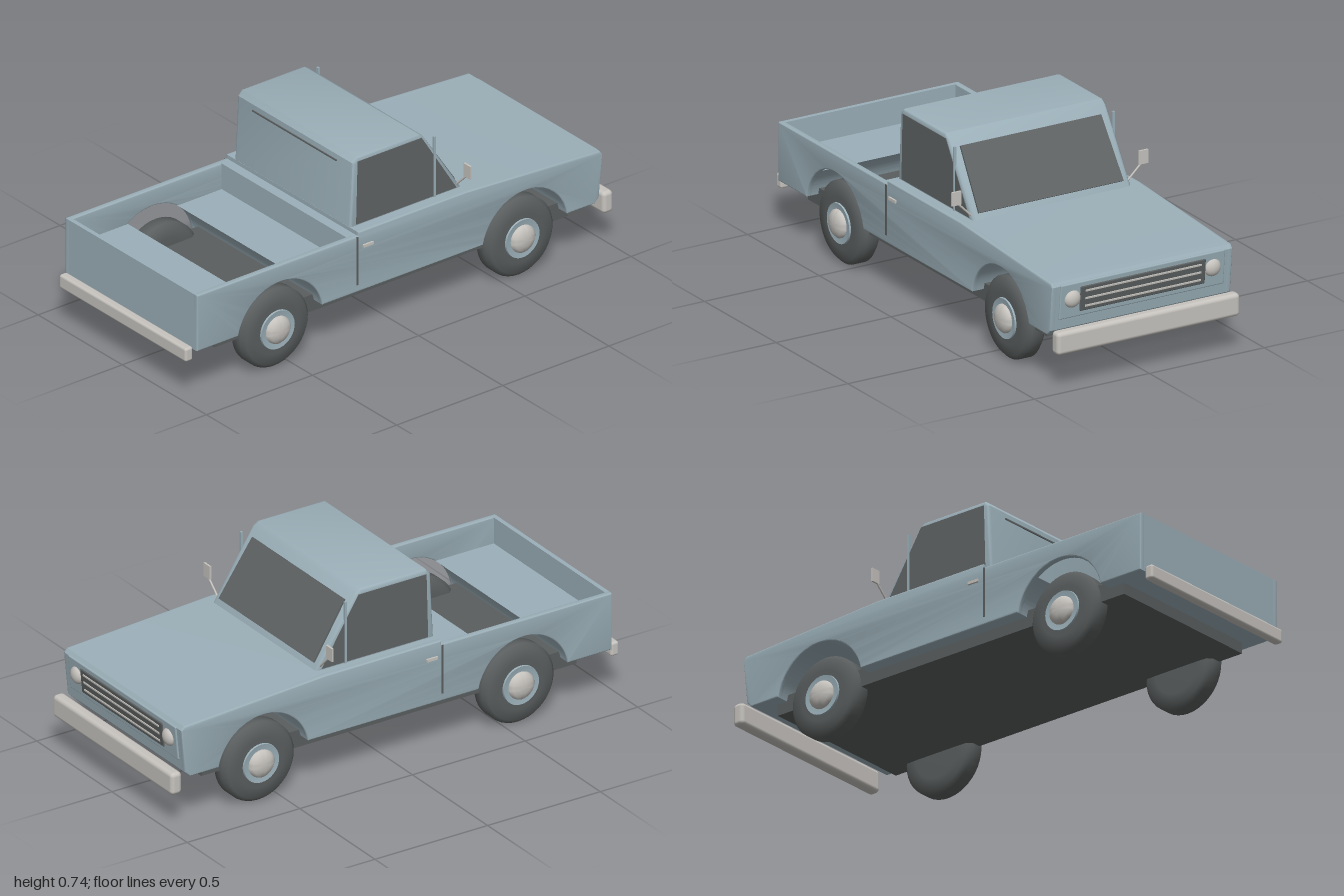
import * as THREE from 'three';
import { toCreasedNormals } from 'three/addons/utils/BufferGeometryUtils.js';
import { RoundedBoxGeometry } from 'three/addons/geometries/RoundedBoxGeometry.js';

const material = (name, color) => new THREE.MeshStandardMaterial({ name, color });

export function createModel() {
  const paint = material('body paint', 0x9bafb8);
  const glass = material('dark glass', 0x606465);
  const rubber = material('dark rubber', 0x5a5e5e);
  const chrome = material('chrome', 0xc6c3be);

  const truck = new THREE.Group();
  truck.name = 'pickupTruck';

  const add = (name, geometry, mat, x = 0, y = 0, z = 0, parent = truck) => {
    const mesh = new THREE.Mesh(geometry, mat);
    mesh.name = name;
    mesh.position.set(x, y, z);
    parent.add(mesh);
    return mesh;
  };
  // box given by its limits on each axis
  const box = (name, mat, [x0, x1], [y0, y1], [z0, z1], radius = 0) => {
    const size = [x1 - x0, y1 - y0, z1 - z0];
    const geometry = radius ? new RoundedBoxGeometry(...size, 3, radius) : new THREE.BoxGeometry(...size);
    return add(name, geometry, mat, (x0 + x1) / 2, (y0 + y1) / 2, (z0 + z1) / 2);
  };
  // side profile extruded from z0 to z1, with an optional rounded edge
  const extrude = (name, mat, shape, z0, z1, bevel = 0) => {
    const geometry = new THREE.ExtrudeGeometry(shape, {
      depth: z1 - z0 - 2 * bevel, curveSegments: 24, bevelEnabled: bevel > 0,
      bevelSize: bevel, bevelThickness: bevel, bevelOffset: -bevel, bevelSegments: 3,
    });
    geometry.translate(0, 0, z0 + bevel);
    return add(name, toCreasedNormals(geometry, 0.6), mat);
  };
  const polygon = (points) => new THREE.Shape(points.map(([x, y]) => new THREE.Vector2(x, y)));

  const REAR = -0.565, FRONT = 0.588, ARCH_Y = 0.165, ARCH_R = 0.202;
  const SILL = 0.205, BED = 0.33, RAIL = 0.437, TAIL = -0.958;
  const INNER = 0.368, OUTER = 0.393, CORE = 0.38;
  const sillAngle = Math.asin((SILL - ARCH_Y) / ARCH_R);
  const bedAngle = Math.asin((BED - ARCH_Y) / ARCH_R);
  const arch = (shape, x, from = Math.PI - sillAngle, to = sillAngle) =>
    shape.absarc(x, ARCH_Y, ARCH_R, from, to, true);
  const nose = (shape) => {
    for (const [x, y] of [[0.915, SILL], [0.935, 0.225], [0.952, 0.4], [0.94, 0.415], [0.31, 0.453], [-0.2, 0.453], [-0.2, RAIL]])
      shape.lineTo(x, y);
  };

  // outer body sides with both wheel arches
  const side = new THREE.Shape();
  side.moveTo(TAIL, RAIL);
  side.lineTo(TAIL, SILL);
  arch(side, REAR);
  arch(side, FRONT);
  nose(side);
  extrude('leftBodySide', paint, side, INNER, OUTER, 0.005);
  extrude('rightBodySide', paint, side, -OUTER, -INNER, 0.005);

  // inner body: the rear arch breaks through the bed floor
  const front = new THREE.Shape();
  front.moveTo(-0.24, RAIL);
  front.lineTo(-0.24, BED);
  arch(front, REAR, bedAngle, sillAngle);
  arch(front, FRONT);
  nose(front);
  extrude('cabBaseAndHood', paint, front, -CORE, CORE);

  const tail = new THREE.Shape();
  tail.moveTo(TAIL, RAIL);
  tail.lineTo(TAIL, SILL);
  arch(tail, REAR, Math.PI - sillAngle, Math.PI - bedAngle);
  tail.lineTo(-0.94, BED);
  tail.lineTo(-0.94, RAIL);
  extrude('bedRearAndTailgate', paint, tail, -CORE, CORE);

  box('chassis', rubber, [-0.835, 0.83], [0.16, 0.23], [-0.34, 0.34]);

  // cab
  extrude('cab', paint, polygon([[-0.2, 0.44], [-0.186, 0.715], [-0.168, 0.735], [0.125, 0.735],
    [0.148, 0.72], [0.325, 0.45], [0.325, 0.44]]), -0.345, 0.345, 0.012);
  box('rearWindowEdge', glass, [-0.191, -0.186], [0.688, 0.694], [-0.25, 0.25]);

  // windscreen plate lying on the sloping cab front
  const slope = Math.atan2(0.177, 0.27);
  const length = 0.218 / Math.cos(slope);
  const pane = new THREE.ExtrudeGeometry(
    polygon([[-0.315, -length / 2], [0.315, -length / 2], [0.306, length / 2], [-0.306, length / 2]]),
    { depth: 0.008, bevelEnabled: false });
  const windscreen = add('windscreen', pane, glass, 0.239, 0.581, 0);
  windscreen.rotation.set(0, Math.PI / 2, 0);
  windscreen.rotateX(-slope);

  const sideGlass = polygon([[-0.172, 0.457], [-0.165, 0.718], [0.136, 0.718], [0.3, 0.457]]);
  for (const s of [1, -1]) {
    const label = s > 0 ? 'left' : 'right';
    const span = (a, b) => (s > 0 ? [a, b] : [-b, -a]);

    // side windows, dividers, door seams and handles
    extrude(label + 'SideWindow', glass, sideGlass, ...span(0.341, 0.347));
    box(label + 'WindowDivider', paint, [0.191, 0.2], [0.453, 0.705], span(0.34, 0.35));
    box(label + 'DoorSeam', rubber, [-0.209, -0.201], [0.235, 0.435], span(0.39, 0.395));
    box(label + 'DoorHandle', chrome, [-0.18, -0.132], [0.385, 0.396], span(0.39, 0.401));

    // mirror on a slanted arm
    box(label + 'Mirror', chrome, [0.301, 0.309], [0.521, 0.575], span(0.387, 0.427));
    const arm = new THREE.LineCurve3(new THREE.Vector3(0.303, 0.465, s * 0.338), new THREE.Vector3(0.305, 0.526, s * 0.4));
    add(label + 'MirrorArm', new THREE.TubeGeometry(arm, 1, 0.004, 8), chrome);

    // headlight
    const lamp = add(label + 'Headlight', new THREE.SphereGeometry(0.035, 24, 16), chrome, 0.949, 0.342, s * 0.305);
    lamp.scale.x = 0.65;
  }

  // front panel and grille, following the slightly raked nose
  const panel = (name, mat, y, height, halfWidth, lift, radius) => {
    const mesh = add(name, new RoundedBoxGeometry(0.012, height, 2 * halfWidth, 2, radius), mat,
      0.935 + (y - 0.225) * 0.097 + lift, y, 0);
    mesh.rotation.z = -0.097;
  };
  panel('frontPanel', paint, 0.335, 0.14, 0.358, 0, 0.005);
  panel('grille', rubber, 0.335, 0.1, 0.272, 0.005, 0.004);
  for (const y of [0.304, 0.335, 0.366]) panel('grilleBar', chrome, y, 0.008, 0.252, 0.008, 0.001);

  // bumpers
  box('frontBumper', chrome, [0.952, 1], [0.146, 0.236], [-0.398, 0.398], 0.016);
  box('rearBumper', chrome, [-1, -0.964], [0.165, 0.222], [-0.377, 0.377], 0.01);

  // wheels: tyre, painted rim and domed hub cap
  const lathe = (points) => toCreasedNormals(
    new THREE.LatheGeometry(points.map(([r, h]) => new THREE.Vector2(r, h)), 40), 0.8);
  const tyre = lathe([[0, -0.043], [0.1, -0.043], [0.143, -0.041], [0.16, -0.024], [0.16, 0.024],
    [0.143, 0.041], [0.1, 0.043], [0, 0.043]]);
  const rim = lathe([[0.08, 0.04], [0.078, 0.05], [0.06, 0.047], [0, 0.047]]);
  const cap = lathe([[0.056, 0.042], [0.055, 0.054], [0.045, 0.064], [0.025, 0.071], [0, 0.073]]);
  for (const [place, x] of [['rear', REAR], ['front', FRONT]]) {
    for (const s of [1, -1]) {
      const wheel = new THREE.Group();
      wheel.name = place + (s > 0 ? 'Left' : 'Right') + 'Wheel';
      wheel.position.set(x, 0.16, s * 0.328);
      wheel.rotation.x = s * Math.PI / 2;
      add('tyre', tyre, rubber, 0, 0, 0, wheel);
      add('rim', rim, paint, 0, 0, 0, wheel);
      add('hubCap', cap, chrome, 0, 0, 0, wheel);
      truck.add(wheel);
    }
  }
  return truck;
}
